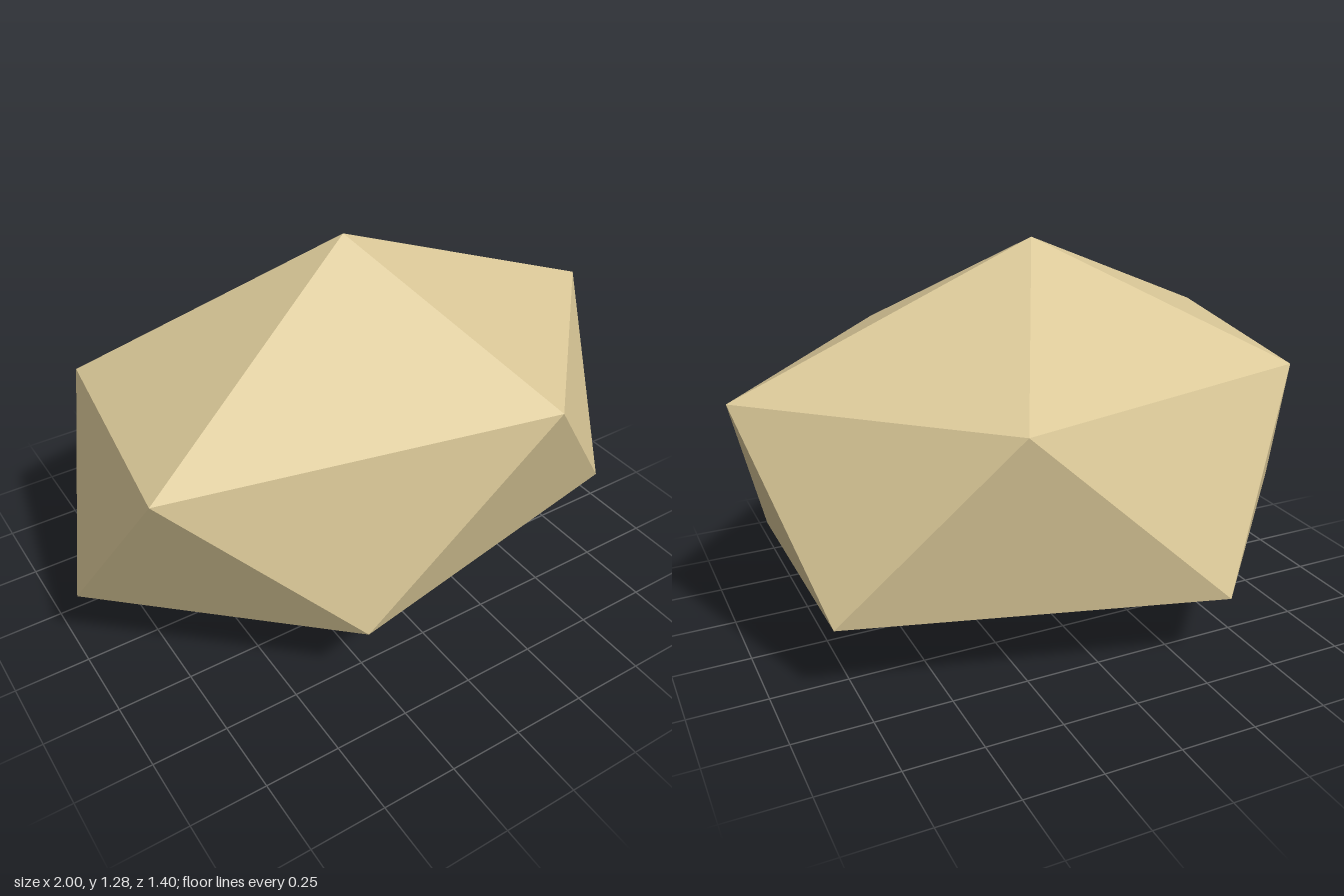
import * as THREE from 'three';

// Faceted rock: two staggered five-corner rings closed by a peak and a base point
export function createModel() {
  const sandstone = new THREE.MeshStandardMaterial({ color: 0xd9c797 });
  sandstone.name = 'sandstone';
  sandstone.flatShading = true;

  const peak = [0, 1.285, 0];
  const base = [0, 0, 0];
  const upper = [
    [1, 0.87, 0], [0.33, 0.895, 0.695], [-0.885, 0.893, 0.428],
    [-0.775, 0.862, -0.37], [0.3, 0.864, -0.62],
  ];
  const lower = [
    [0.832, 0.272, 0.41], [-0.315, 0.284, 0.635], [-1, 0.286, 0],
    [-0.355, 0.248, -0.703], [0.825, 0.272, -0.4],
  ];

  // Five sectors, each with a cap face, two side faces and an underside face
  const positions = [];
  const face = (...corners) => corners.forEach((c) => positions.push(...c));
  for (let i = 0; i < 5; i++) {
    const j = (i + 1) % 5;
    face(peak, upper[j], upper[i]);
    face(upper[i], upper[j], lower[i]);
    face(lower[i], upper[j], lower[j]);
    face(base, lower[i], lower[j]);
  }

  const geometry = new THREE.BufferGeometry();
  geometry.setAttribute('position', new THREE.Float32BufferAttribute(positions, 3));
  geometry.computeVertexNormals();

  const rock = new THREE.Mesh(geometry, sandstone);
  rock.name = 'rock';
  const model = new THREE.Group();
  model.name = 'facetedRock';
  model.add(rock);
  return model;
}
